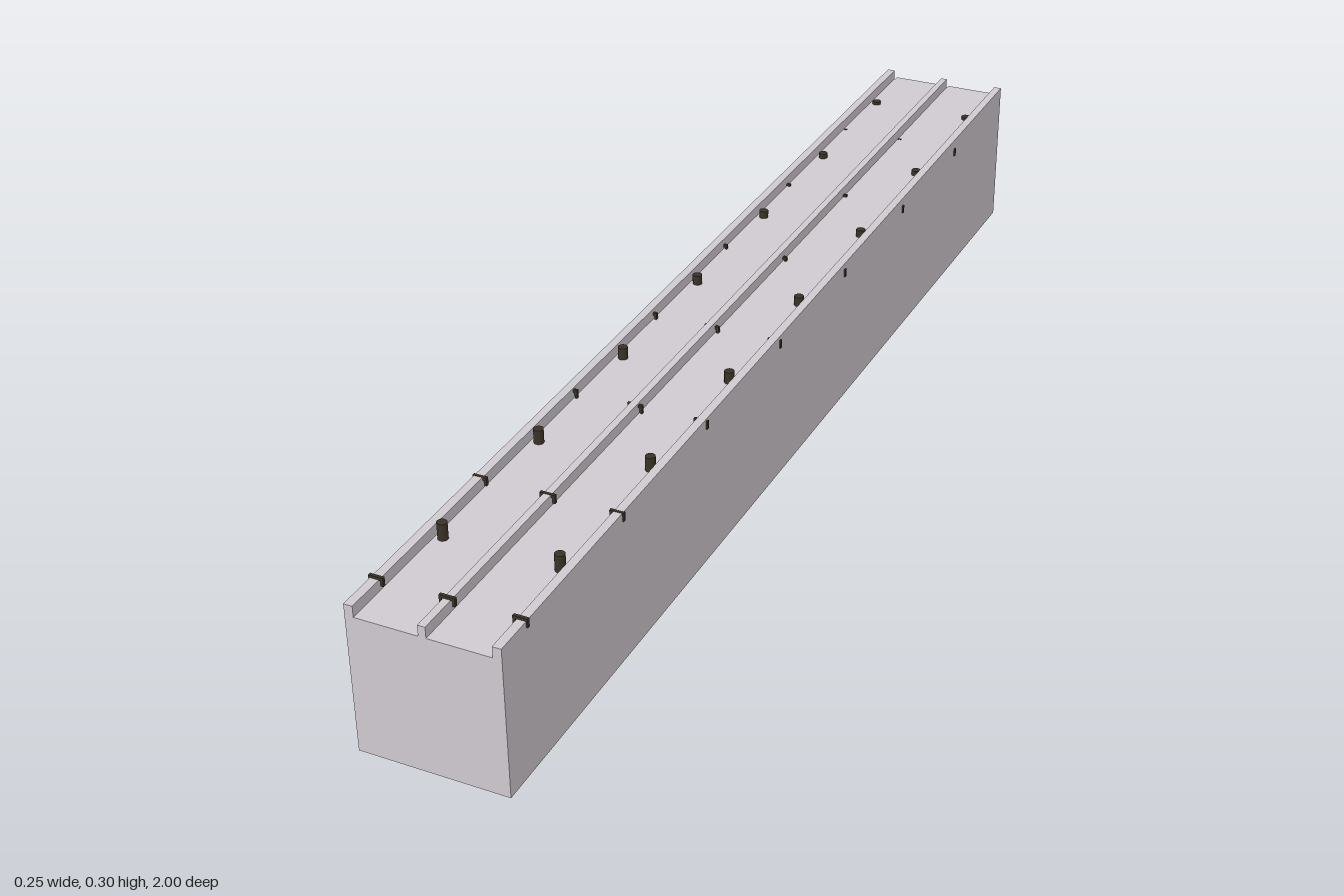
import * as THREE from 'three';

const mat = (color) => new THREE.MeshStandardMaterial({ color });

export function createModel() {
  const model = new THREE.Group();
  const shell = mat(0xcfc9d0), grey = mat(0xcccccc), dark = mat(0x3a3226), brown = mat(0x6b5840);

  const add = (parent, name, geometry, material, x = 0, y = 0, z = 0) => {
    const mesh = new THREE.Mesh(geometry, material);
    mesh.name = name;
    mesh.position.set(x, y, z);
    parent.add(mesh);
    return mesh;
  };
  const group = (name) => {
    const g = new THREE.Group();
    g.name = name;
    model.add(g);
    return g;
  };

  const W = 0.12, BASE = 0.027, FLOOR = 0.256, RAIL = 0.274;
  const INNER = 0.106, MID = 0.006, FRONT = 1, BACK = -0.988, RISE = 0.026;

  // Long body: two shallow channels between three rails, the top climbing to the back
  const section = new THREE.Shape([
    [-W, BASE], [W, BASE], [W, RAIL], [INNER, RAIL], [INNER, FLOOR], [MID, FLOOR],
    [MID, RAIL], [-MID, RAIL], [-MID, FLOOR], [-INNER, FLOOR], [-INNER, RAIL], [-W, RAIL],
  ].map(([x, y]) => new THREE.Vector2(x, y)));
  const body = new THREE.ExtrudeGeometry(section, { depth: FRONT - BACK, bevelEnabled: false });
  body.translate(0, 0, BACK);
  const p = body.attributes.position;
  for (let i = 0; i < p.count; i++) {
    if (p.getY(i) > 0.2) p.setY(i, p.getY(i) + RISE * (FRONT - p.getZ(i)) / (FRONT - BACK));
  }
  body.computeVertexNormals();
  add(model, 'body', body, shell);

  // Underside sheet
  const under = new THREE.PlaneGeometry(2 * W, FRONT - BACK).rotateX(Math.PI / 2);
  add(model, 'underside', under, brown, 0, BASE - 0.0005, (FRONT + BACK) / 2);

  // Four raised panels on the back end, separated by narrow gaps
  const panels = group('backPanels');
  for (const s of [-1, 1]) {
    for (const [y0, y1] of [[0.032, 0.162], [0.168, 0.281]]) {
      add(panels, 'backPanel', new THREE.BoxGeometry(INNER - MID - 0.002, y1 - y0, 0.014), grey,
        s * (INNER + MID) / 2, (y0 + y1) / 2, -0.993);
    }
  }

  // Pins pass right through the body and also serve as feet
  const pins = group('pins');
  const pinGeo = new THREE.CylinderGeometry(0.008, 0.008, 0.286, 16);
  for (let i = 0; i < 7; i++) {
    for (const s of [-1, 1]) add(pins, 'pin', pinGeo, dark, s * 0.093, 0.143, 0.793 - i * 0.275);
  }

  // Level staples over each rail, sinking into the rising rails toward the back
  const clips = group('clips');
  const staple = (x, halfWidth, z) => {
    const clip = new THREE.Group();
    clip.name = 'clip';
    clip.position.set(x, 0, z);
    clips.add(clip);
    add(clip, 'clipBar', new THREE.BoxGeometry(2 * halfWidth, 0.005, 0.005), dark, 0, 0.2765, 0);
    for (const s of [-1, 1]) {
      add(clip, 'clipLeg', new THREE.BoxGeometry(0.004, 0.011, 0.005), dark,
        s * (halfWidth - 0.002), 0.2705, 0);
    }
  };
  for (let i = 0; i < 7; i++) {
    const z = 0.933 - i * 0.275;
    staple(0, 0.0125, z);
    for (const s of [-1, 1]) staple(s * 0.111, 0.0115, z);
  }

  return model;
}
